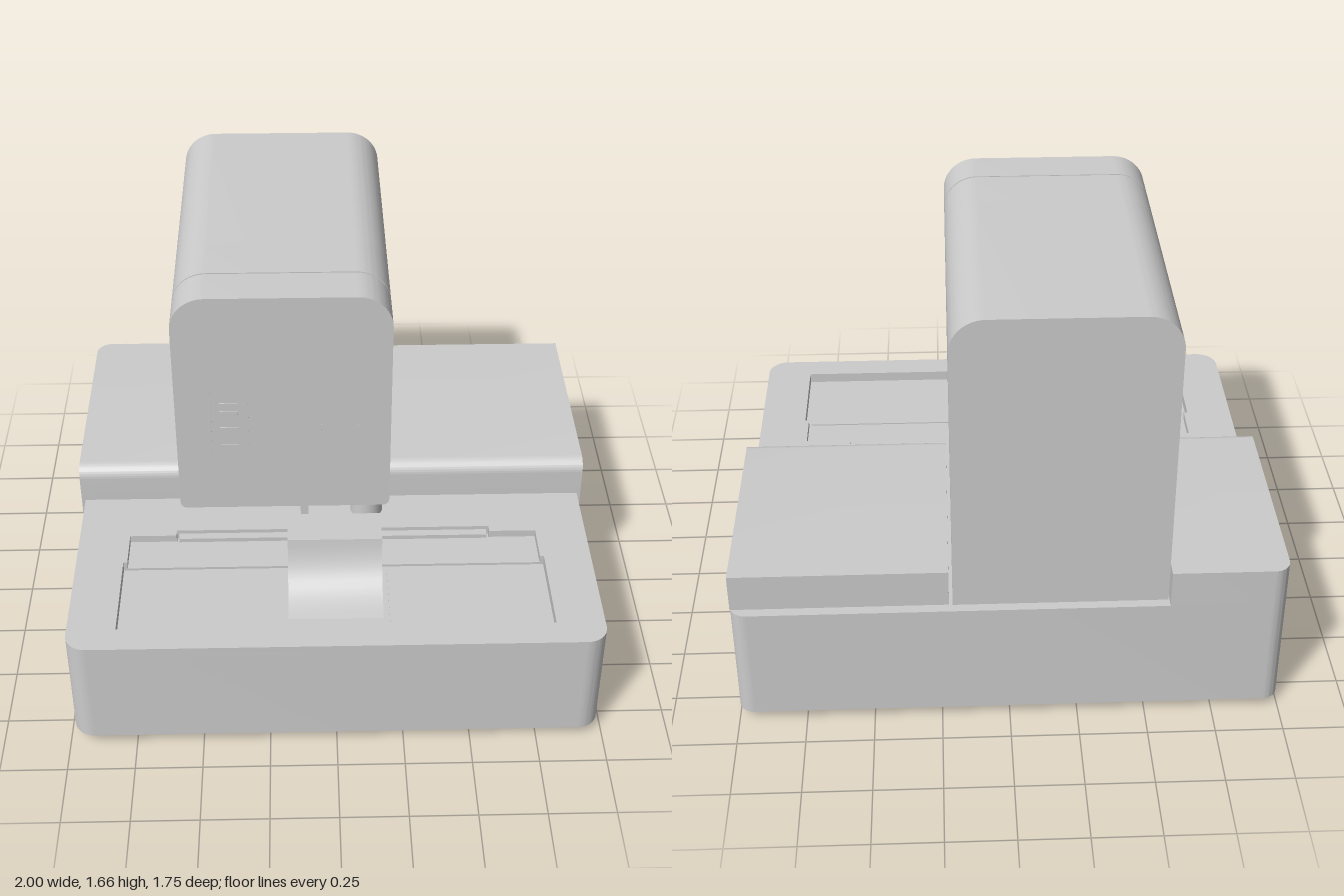
import * as THREE from 'three';
import { toCreasedNormals } from 'three/addons/utils/BufferGeometryUtils.js';

const grey = new THREE.MeshStandardMaterial({ color: 0xcccccc });

// Rectangle with its own radius per corner: bottom-left, bottom-right, top-right, top-left
function rounded(x0, y0, x1, y1, [bl, br, tr, tl]) {
  const s = new THREE.Shape();
  const corner = (x, y, r, a) => (r ? s.absarc(x, y, r, a, a + Math.PI / 2, false) : s.lineTo(x, y));
  s.moveTo(x0 + bl, y0);
  s.lineTo(x1 - br, y0);
  corner(x1 - br, y0 + br, br, -Math.PI / 2);
  s.lineTo(x1, y1 - tr);
  corner(x1 - tr, y1 - tr, tr, 0);
  s.lineTo(x0 + tl, y1);
  corner(x0 + tl, y1 - tl, tl, Math.PI / 2);
  s.lineTo(x0, y0 + bl);
  corner(x0 + bl, y0 + bl, bl, Math.PI);
  return s;
}

function extrude(shape, depth) {
  return new THREE.ExtrudeGeometry(shape, { depth, bevelEnabled: false, curveSegments: 12 });
}
// Shape in (x, y), swept from z0 to z1
const alongZ = (shape, z0, z1) => extrude(shape, z1 - z0).translate(0, 0, z0);
// Shape in (z, y), swept from x0 to x1
const alongX = (shape, x0, x1) => extrude(shape, x1 - x0).rotateY(-Math.PI / 2).translate(x1, 0, 0);
// Shape in (x, -z), swept from y0 to y1
const alongY = (shape, y0, y1) => extrude(shape, y1 - y0).rotateX(-Math.PI / 2).translate(0, y0, 0);

export function createModel() {
  const model = new THREE.Group();
  const add = (name, geometry) => {
    const mesh = new THREE.Mesh(toCreasedNormals(geometry, 0.6), grey);
    mesh.name = name;
    model.add(mesh);
  };
  const box = (name, x0, x1, y0, y1, z0, z1) =>
    add(name, new THREE.BoxGeometry(x1 - x0, y1 - y0, z1 - z0)
      .translate((x0 + x1) / 2, (y0 + y1) / 2, (z0 + z1) / 2));

  // Front base with a shallow tray cut in its top
  const plan = () => rounded(-0.985, -0.875, 0.985, -0.015, [0.08, 0.08, 0, 0]);
  add('frontBase', alongY(plan(), 0.045, 0.445));
  const rim = plan();
  const half = [[0.61, 0.215], [0.61, 0.245], [0.79, 0.245], [0.79, 0.4], [0.805, 0.4],
    [0.805, 0.77], [0.175, 0.77], [0.175, 0.4]];
  const outline = [...half, ...half.map(([x, z]) => [-x, z]).reverse()];
  rim.holes.push(new THREE.Path(outline.map(([x, z]) => new THREE.Vector2(x, -z))));
  add('frontBaseRim', alongY(rim, 0.445, 0.485));
  box('trayStep', -0.79, 0.79, 0.44, 0.455, 0.245, 0.4);
  box('trayBar', -0.6, 0.6, 0.44, 0.472, 0.218, 0.25);
  for (const s of [-1, 1]) {
    const [a, b] = [s * 0.2, s * 0.78].sort((p, q) => p - q);
    box('trayPlate', a, b, 0.44, 0.45, 0.42, 0.75);
  }

  // Curved work support in the middle of the tray
  const support = new THREE.Shape();
  support.moveTo(0.36, 0.44);
  support.lineTo(0.375, 0.69);
  support.lineTo(0.525, 0.69);
  support.bezierCurveTo(0.54, 0.56, 0.6, 0.5, 0.73, 0.485);
  support.lineTo(0.73, 0.44);
  add('workSupport', alongX(support, -0.175, 0.175));

  // Rear base, low ledge and the two raised side blocks
  add('rearBase', alongY(rounded(-1, -0.015, 1, 0.878, [0, 0, 0.06, 0.06]), 0.04, 0.495));
  const lid = (back) => rounded(back, 0.495, 0.015, 0.64, [0, 0, 0.05, 0]);
  add('rightCover', alongX(lid(-0.84), 0.218, 1));
  add('leftBlock', alongX(lid(-0.8), -1, -0.574));
  add('leftBlockBack', alongY(rounded(-1, 0.8, -0.574, 0.878, [0, 0, 0, 0.06]), 0.495, 0.64));

  // Tall head: column, overhang, fillet between them and front panel
  const head = (y0, low, inset = 0) => rounded(-0.57 + inset, y0 + inset, 0.205 - inset, 1.665 - inset,
    [low, low, 0.125, 0.125]);
  add('headColumn', alongZ(head(0.48, 0), -0.842, 0.025));
  add('headOverhang', alongZ(head(0.775, 0.01), 0.025, 0.235));
  add('headSeam', alongZ(head(0.775, 0.01, 0.008), 0.23, 0.245));
  add('headFrontPanel', alongZ(head(0.755, 0.025), 0.241, 0.405));
  const fillet = new THREE.Shape();
  fillet.moveTo(0.02, 0.78);
  fillet.lineTo(0.02, 0.675);
  fillet.lineTo(0.025, 0.675);
  fillet.absarc(0.125, 0.675, 0.1, Math.PI, Math.PI / 2, true);
  fillet.lineTo(0.125, 0.78);
  add('headFillet', alongX(fillet, -0.57, 0.205));

  // Fine guide lines and small controls on the front panel
  for (const [x, y0, y1] of [[-0.443, 1.0, 1.28], [-0.31, 1.0, 1.28], [-0.045, 0.785, 1.13], [0.088, 0.785, 1.13]])
    box('panelLine', x - 0.002, x + 0.002, y0, y1, 0.4, 0.407);
  for (const [y, h] of [[1.225, 0.01], [1.165, 0.06], [1.115, 0.018], [1.04, 0.016]])
    box('panelButton', -0.41, -0.345, y - h / 2, y + h / 2, 0.4, 0.409);

  // Clamp hanging below the head: two legs with inward feet and a crossbar
  for (const s of [-1, 1]) {
    const span = (p, q) => [0.2725 + s * p, 0.2725 + s * q].sort((m, n) => m - n);
    box('clampLeg', -0.125, -0.095, 0.55, 0.78, ...span(0.063, 0.078));
    box('clampFoot', -0.125, -0.095, 0.55, 0.563, ...span(0.022, 0.078));
  }
  box('clampCrossbar', -0.12, -0.1, 0.714, 0.722, 0.195, 0.355);

  // Short round post beside the column
  add('post', new THREE.CylinderGeometry(0.063, 0.063, 0.15, 32).translate(0.135, 0.555, 0.092));

  // Square feet
  for (const x of [-0.71, 0.335])
    for (const z of [-0.71, 0.375]) box('foot', x, x + 0.375, 0, 0.05, z, z + 0.375);

  return model;
}
